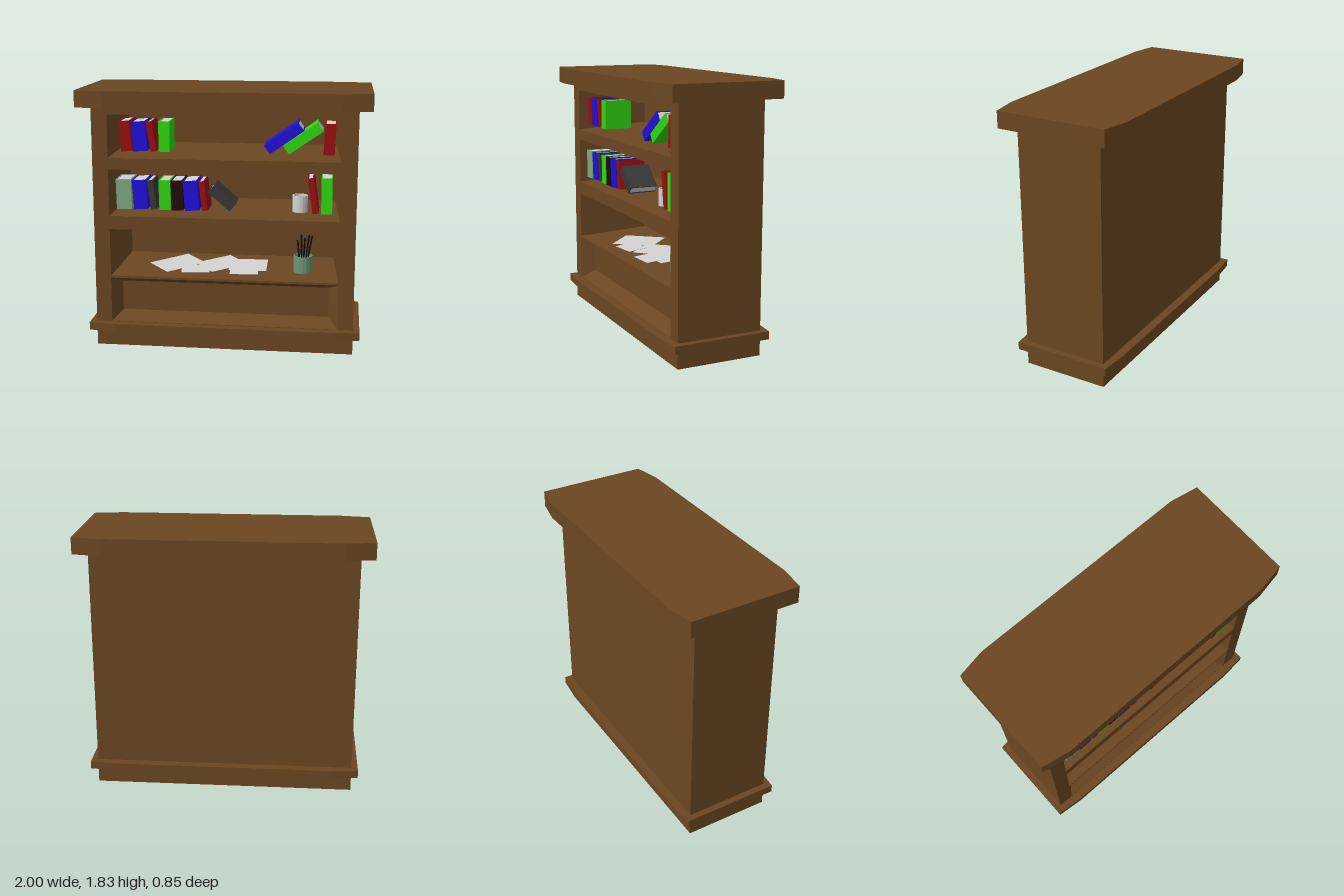
import * as THREE from 'three';

const mat = (name, color, side = THREE.FrontSide) => {
  const m = new THREE.MeshStandardMaterial({ color, side });
  m.name = name;
  return m;
};

export function createModel() {
  const wood = mat('brown wood', 0x6b4722);
  const red = mat('red cover', 0x981010);
  const blue = mat('blue cover', 0x2010d8);
  const green = mat('green cover', 0x30d810);
  const charcoal = mat('charcoal cover', 0x383838);
  const black = mat('dark cover', 0x200c0c);
  const sage = mat('sage cover', 0x80a880);
  const potGreen = mat('pot green', 0x6b9474, THREE.DoubleSide);
  const paper = mat('paper white', 0xd2d2d2, THREE.DoubleSide);
  const ink = mat('pen black', 0x101010);

  const model = new THREE.Group();
  model.name = 'bookcase';
  const add = (name, geo, material, x = 0, y = 0, z = 0, parent = model) => {
    const mesh = new THREE.Mesh(geo, material);
    mesh.name = name;
    mesh.position.set(x, y, z);
    parent.add(mesh);
    return mesh;
  };

  // Carcass sizes; each niche: bottom, top, then back bottom, back top, back half width, depth
  const W = 0.91, D = 0.305, H = 1.72, open = 0.8;
  const niches = [
    [1.36, 1.66, 1.395, 1.625, 0.76, 0.53],
    [0.95, 1.28, 0.985, 1.245, 0.76, 0.53],
    [0.515, 0.855, 0.55, 0.825, 0.76, 0.53],
    [0.18, 0.5, 0.24, 0.455, 0.735, 0.09],
  ];

  // Front face with the niche openings
  const rect = (Type, w, y0, y1) =>
    new Type([[-w, y0], [w, y0], [w, y1], [-w, y1]].map(([x, y]) => new THREE.Vector2(x, y)));
  const front = rect(THREE.Shape, W, 0, H);
  niches.forEach(([y0, y1]) => front.holes.push(rect(THREE.Path, open, y0, y1)));
  add('frontFrame', new THREE.ShapeGeometry(front), wood, 0, 0, D);

  // Quads between corner rings, counter-clockwise as seen from outside
  const quadGeometry = (quads) => {
    const pos = [];
    quads.forEach(([a, b, c, d]) => [a, b, c, a, c, d].forEach((p) => pos.push(...p)));
    const g = new THREE.BufferGeometry();
    g.setAttribute('position', new THREE.Float32BufferAttribute(pos, 3));
    g.computeVertexNormals();
    return g;
  };
  const ring = (w, y0, y1, z) => [[-w, y0, z], [w, y0, z], [w, y1, z], [-w, y1, z]];
  const between = (a, b) => a.map((p, i) => [p, a[(i + 1) % 4], b[(i + 1) % 4], b[i]]);

  // Sides, floor, top and back of the carcass
  const f = ring(W, 0, H, D), b = ring(W, 0, H, -D);
  add('carcass', quadGeometry([...between(b, f), [b[1], b[0], b[3], b[2]]]), wood);

  // Tapered niches
  niches.forEach(([y0, y1, b0, b1, bw, depth], i) => {
    const mouth = ring(open, y0, y1, D), back = ring(bw, b0, b1, D - depth);
    add(`niche${i + 1}`, quadGeometry([...between(mouth, back), back]), wood);
  });

  // Top slab and base moulding with tapered ends
  const slab = (name, x, xi, z, ze, y, h) => {
    const pts = [[-x, -ze], [-xi, -z], [xi, -z], [x, -ze], [x, ze], [xi, z], [-xi, z], [-x, ze]];
    const geo = new THREE.ExtrudeGeometry(
      new THREE.Shape(pts.map((p) => new THREE.Vector2(...p))), { depth: h, bevelEnabled: false });
    geo.rotateX(-Math.PI / 2);
    add(name, geo, wood, 0, y, 0);
  };
  slab('topSlab', 1, 0.8, 0.427, 0.39, 1.715, 0.115);
  slab('baseMoulding', 0.955, 0.765, 0.366, 0.348, 0.12, 0.055);

  // A book: spine, two covers and a page block
  const book = (cover, x, y, w, h, lean = 0) => {
    const g = new THREE.Group(), t = 0.007, d = 0.2;
    g.name = 'book';
    g.position.set(x, y, 0.16);
    g.rotation.z = lean;
    add('spine', new THREE.BoxGeometry(w, h, t), cover, 0, 0, d / 2, g);
    for (const s of [-1, 1])
      add('cover', new THREE.BoxGeometry(t, h, d), cover, s * (w - t) / 2, 0, 0, g);
    add('pages', new THREE.BoxGeometry(w - 2 * t, h - 0.008, d - 0.006), paper, 0, 0, 0, g);
    model.add(g);
  };
  [
    // upper shelf
    [red, -0.683, 1.507, 0.076, 0.21, 0.07], [blue, -0.586, 1.507, 0.1, 0.205, 0.07],
    [red, -0.502, 1.507, 0.042, 0.208, 0.16], [green, -0.412, 1.508, 0.078, 0.21, 0],
    [blue, 0.41, 1.51, 0.07, 0.28, -0.96], [green, 0.54, 1.51, 0.07, 0.28, -0.96],
    [red, 0.719, 1.507, 0.075, 0.212, -0.04],
    // middle shelf
    [sage, -0.702, 1.098, 0.108, 0.212, 0.02], [blue, -0.588, 1.098, 0.1, 0.206, 0.07],
    [charcoal, -0.504, 1.098, 0.042, 0.208, 0.14], [green, -0.414, 1.098, 0.08, 0.21, 0.02],
    [black, -0.327, 1.098, 0.083, 0.21, 0.02], [blue, -0.229, 1.098, 0.1, 0.21, 0.07],
    [red, -0.144, 1.098, 0.04, 0.208, 0.13], [charcoal, -0.015, 1.085, 0.066, 0.2, 0.85],
    [red, 0.614, 1.117, 0.042, 0.25, 0.15], [green, 0.707, 1.117, 0.075, 0.25, 0.01],
  ].forEach((row) => book(...row));

  // Hollow cups
  const cup = (r, h) => new THREE.LatheGeometry(
    [[0, 0], [r, 0], [r, h], [r - 0.008, h], [r - 0.008, 0.01], [0, 0.01]]
      .map((p) => new THREE.Vector2(...p)), 16).toNonIndexed();
  const flat = (g) => { g.computeVertexNormals(); return g; };
  add('mug', flat(cup(0.053, 0.115)), paper, 0.523, 0.995, 0.2);
  add('penPot', flat(cup(0.067, 0.12)), potGreen, 0.548, 0.535, 0.11);

  // Pens fanned out in the pot: lean to the side, lean in depth, length
  [[0.1, 0.05, 0.225], [0.03, -0.08, 0.265], [-0.05, 0.08, 0.245], [-0.12, -0.04, 0.27], [-0.17, 0.03, 0.26]]
    .forEach(([rz, rx, len], i) => {
      const geo = new THREE.CylinderGeometry(0.007, 0.007, len, 6).translate(0, len / 2, 0);
      const pen = add('pen', geo, ink, 0.53 + i * 0.009, 0.546, 0.11 + rx * 0.2);
      pen.rotation.set(rx, 0, rz);
    });

  // Loose sheets lying on the sloping desk shelf: x, z, width, depth, turn
  [[-0.37, 0, 0.33, 0.24, 0.72], [-0.05, -0.01, 0.3, 0.23, 0.68], [0.15, 0.01, 0.27, 0.24, 0.02],
    [-0.22, 0.13, 0.2, 0.15, 0.12], [0.13, 0.14, 0.2, 0.15, 0.08]]
    .forEach(([x, z, w, d, turn], i) => {
      const geo = new THREE.BoxGeometry(w, 0.002, d).rotateY(turn);
      const sheet = add('paperSheet', geo, paper, x, 0.518 + 0.066 * (D - z) + i * 0.002, z);
      sheet.rotation.x = 0.066;
    });

  return model;
}
